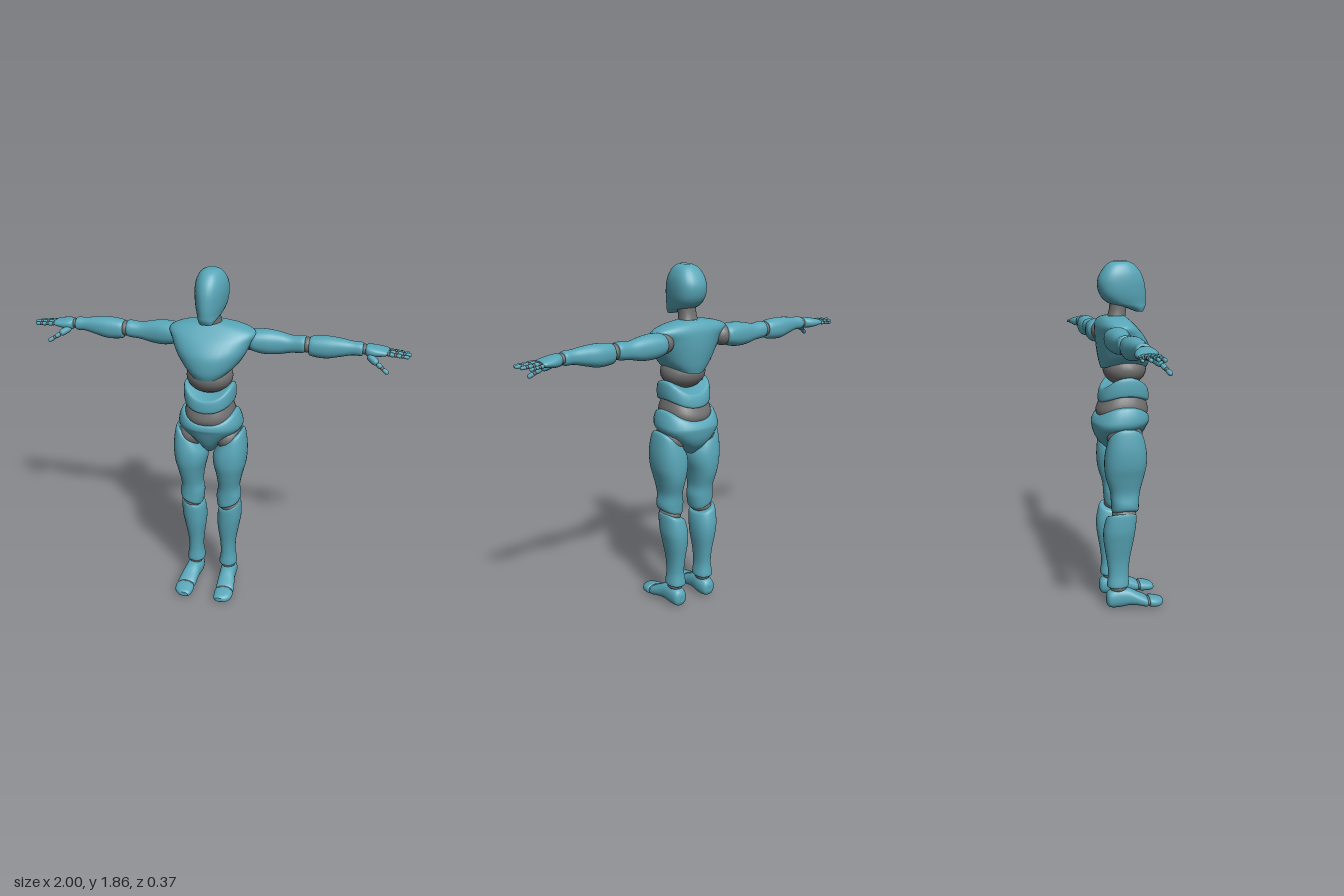
import * as THREE from 'three';

const shell = new THREE.MeshStandardMaterial({ color: 0x58a6b8 });
shell.name = 'teal shell';
const joint = new THREE.MeshStandardMaterial({ color: 0x717171 });
joint.name = 'grey joint';

const SIDES = 32, STEPS = 5;

// Smooth interpolation through all numbers of neighbouring sections
function refine(sections) {
  const full = sections.map(s => [0, 1, 2, 3, 4, 5, 6, 7, 8].map(i => s[i] ?? (i === 8 ? 2.3 : 0)));
  full.sort((a, b) => a[0] - b[0]);
  const at = i => full[Math.max(0, Math.min(full.length - 1, i))];
  const out = [];
  for (let i = 0; i < full.length - 1; i++) {
    for (let k = 0; k < STEPS; k++) {
      const t = k / STEPS;
      out.push(at(i).map((b, j) => {
        const a = at(i - 1)[j], c = at(i + 1)[j], d = at(i + 2)[j];
        return b + 0.5 * t * (c - a + t * (2 * a - 5 * b + 4 * c - d + t * (3 * (b - c) + d - a)));
      }));
    }
  }
  out.push(full[full.length - 1]);
  return out;
}

// Loft of superellipses: [t, u0, u1, v0, v1, taper, arch, slope, exponent]
// axis y: u = x, v = z; axis z: u = x, v = y; axis x: u = z, v = y
function loft(axis, sections) {
  const rings = refine(sections), pos = [], index = [];
  const put = (u, t, v) => pos.push(...(axis === 'y' ? [u, t, v] : axis === 'z' ? [u, v, t] : [t, v, u]));
  const tri = (a, b, c) => (axis === 'z' ? index.push(a, c, b) : index.push(a, b, c));
  const ring = ([t, u0, u1, v0, v1, taper, arch, slope, n]) => {
    for (let i = 0; i < SIDES; i++) {
      const a = (i / SIDES) * Math.PI * 2, c = Math.cos(a), s = Math.sin(a);
      const pu = Math.sign(c) * Math.abs(c) ** (2 / n), pv = Math.sign(s) * Math.abs(s) ** (2 / n);
      put((u0 + u1) / 2 + (u1 - u0) / 2 * pu * (1 + taper * s),
        t + arch * s * s + slope * c, (v0 + v1) / 2 + (v1 - v0) / 2 * pv);
    }
  };
  rings.forEach(ring);
  for (let k = 0; k < rings.length - 1; k++) {
    for (let i = 0; i < SIDES; i++) {
      const j = (i + 1) % SIDES, a = k * SIDES, b = a + SIDES;
      tri(a + i, b + i, a + j);
      tri(a + j, b + i, b + j);
    }
  }
  // End caps with their own vertices, so the rims stay sharp
  [rings[0], rings[rings.length - 1]].forEach((r, end) => {
    const base = pos.length / 3;
    ring(r);
    put((r[1] + r[2]) / 2, r[0] + r[6] / 2, (r[3] + r[4]) / 2);
    for (let i = 0; i < SIDES; i++) {
      const p = base + i, q = base + (i + 1) % SIDES;
      end ? tri(base + SIDES, q, p) : tri(base + SIDES, p, q);
    }
  });
  const g = new THREE.BufferGeometry();
  g.setAttribute('position', new THREE.Float32BufferAttribute(pos, 3));
  g.setIndex(index);
  g.computeVertexNormals();
  return g;
}

const ball = (x, y, z, rx, ry = rx, rz = rx, n = 24) =>
  new THREE.SphereGeometry(1, n, Math.ceil(n / 2)).scale(rx, ry, rz).translate(x, y, z);

function capsule(a, b, r) {
  const d = b.clone().sub(a), len = d.length();
  const q = new THREE.Quaternion().setFromUnitVectors(new THREE.Vector3(0, 1, 0), d.normalize());
  const m = a.clone().add(b).multiplyScalar(0.5);
  return new THREE.CapsuleGeometry(r, Math.max(0.001, len - 2 * r), 3, 10).applyQuaternion(q).translate(m.x, m.y, m.z);
}

function mirrored(geometry) {
  const g = geometry.clone().scale(-1, 1, 1), ix = g.index.array;
  for (let i = 0; i < ix.length; i += 3) [ix[i], ix[i + 1]] = [ix[i + 1], ix[i]];
  return g;
}

export function createModel() {
  const model = new THREE.Group();
  model.name = 'jointedMannequin';
  const add = (name, geometry, material = shell) => {
    const mesh = new THREE.Mesh(geometry, material);
    mesh.name = name;
    model.add(mesh);
  };
  const pair = (name, geometry, material) => {
    add('left' + name, geometry, material);
    add('right' + name, mirrored(geometry), material);
  };

  // Head with a narrow face, and the neck
  add('head', loft('y', [
    [1.857, -0.025, 0.025, -0.06, 0.015], [1.84, -0.053, 0.053, -0.09, 0.05, -0.15],
    [1.80, -0.074, 0.074, -0.122, 0.085, -0.2], [1.75, -0.081, 0.081, -0.14, 0.105, -0.22],
    [1.69, -0.076, 0.076, -0.128, 0.113, -0.25], [1.645, -0.062, 0.062, -0.085, 0.113, -0.22],
    [1.622, -0.048, 0.048, 0.0, 0.11, -0.15], [1.60, -0.032, 0.032, 0.06, 0.098]]));
  add('neck', loft('y', [
    [1.68, -0.047, 0.047, -0.075, 0.015], [1.61, -0.046, 0.046, -0.08, 0.008], [1.55, -0.055, 0.055, -0.1, 0.0]]), joint);

  // Torso plates and the joints between them
  add('chest', loft('y', [
    [1.582, -0.06, 0.06, -0.105, -0.005], [1.566, -0.16, 0.16, -0.128, 0.012, 0, 0, 0, 2.5],
    [1.535, -0.225, 0.225, -0.145, 0.045, -0.03, 0, 0, 2.3], [1.49, -0.208, 0.208, -0.15, 0.088, 0, 0, 0, 2.1],
    [1.43, -0.182, 0.182, -0.148, 0.125, -0.02, 0, 0, 2], [1.375, -0.145, 0.145, -0.137, 0.132, -0.04, -0.02, 0, 2],
    [1.345, -0.112, 0.112, -0.125, 0.118, 0, -0.035, 0, 2]]));
  add('upperWaistJoint', ball(0, 1.305, 0, 0.122, 0.09, 0.115), joint);
  add('abdomen', loft('y', [
    [1.27, -0.118, 0.118, -0.115, 0.105, 0, -0.065], [1.262, -0.132, 0.132, -0.128, 0.12, 0, -0.065],
    [1.22, -0.136, 0.136, -0.138, 0.126, 0, -0.05], [1.178, -0.132, 0.132, -0.14, 0.125, 0, -0.04],
    [1.17, -0.12, 0.12, -0.125, 0.11, 0, -0.04]]));
  add('lowerWaistJoint', loft('y', [
    [1.19, -0.105, 0.105, -0.12, 0.105, 0, -0.03], [1.12, -0.13, 0.13, -0.152, 0.124, 0, -0.03],
    [1.05, -0.13, 0.13, -0.14, 0.11]]), joint);
  add('pelvis', loft('y', [
    [1.118, -0.135, 0.135, -0.14, 0.108, 0, -0.05], [1.108, -0.152, 0.152, -0.158, 0.124, 0, -0.05],
    [1.06, -0.168, 0.168, -0.173, 0.128, 0, -0.025], [1.015, -0.166, 0.166, -0.175, 0.12, -0.05],
    [0.965, -0.118, 0.118, -0.165, 0.1, -0.15], [0.92, -0.068, 0.068, -0.14, 0.075, -0.2],
    [0.873, -0.025, 0.025, -0.09, 0.03]]));

  // Legs
  pair('HipJoint', ball(0.098, 0.962, -0.02, 0.077, 0.075, 0.096), joint);
  pair('Thigh', loft('y', [
    [0.96, 0.055, 0.172, -0.095, 0.058, 0, 0, 0.05], [0.945, 0.04, 0.188, -0.11, 0.075, 0, 0, 0.05],
    [0.88, 0.02, 0.2, -0.125, 0.092, 0, 0, 0.02], [0.81, 0.02, 0.195, -0.13, 0.094],
    [0.74, 0.036, 0.178, -0.123, 0.08], [0.66, 0.046, 0.162, -0.1, 0.06],
    [0.6, 0.037, 0.169, -0.094, 0.054], [0.555, 0.044, 0.166, -0.09, 0.052, 0, 0, 0.02],
    [0.543, 0.056, 0.156, -0.08, 0.04, 0, 0, 0.02]]));
  pair('KneeJoint', ball(0.106, 0.537, -0.025, 0.056, 0.045, 0.066), joint);
  pair('Shin', loft('y', [
    [0.53, 0.055, 0.155, -0.105, 0.03, 0, 0, 0.02], [0.518, 0.044, 0.165, -0.12, 0.042, 0, 0, 0.02],
    [0.45, 0.036, 0.166, -0.135, 0.037], [0.38, 0.037, 0.155, -0.134, 0.027],
    [0.28, 0.05, 0.138, -0.118, 0.008], [0.2, 0.054, 0.136, -0.11, 0.0],
    [0.135, 0.045, 0.145, -0.117, 0.002], [0.125, 0.055, 0.135, -0.107, -0.008]]));
  pair('AnkleJoint', ball(0.097, 0.118, -0.055, 0.04, 0.03, 0.047), joint);
  pair('Foot', loft('z', [
    [-0.122, 0.08, 0.115, 0.035, 0.075], [-0.108, 0.062, 0.138, 0.012, 0.1], [-0.06, 0.053, 0.145, 0.006, 0.118],
    [0.0, 0.058, 0.148, 0.014, 0.11], [0.05, 0.06, 0.158, 0.012, 0.085], [0.092, 0.062, 0.164, 0.004, 0.064],
    [0.1, 0.07, 0.156, 0.01, 0.056]]));
  pair('ToeJoint', ball(0.114, 0.031, 0.104, 0.045, 0.026, 0.022), joint);
  pair('Toes', loft('z', [
    [0.11, 0.07, 0.158, 0.006, 0.054], [0.118, 0.062, 0.166, 0.001, 0.06], [0.155, 0.064, 0.163, 0.0, 0.052],
    [0.18, 0.07, 0.145, 0.004, 0.044], [0.19, 0.08, 0.125, 0.012, 0.035]]));

  // Arms
  pair('ShoulderJoint', ball(0.19, 1.485, -0.085, 0.055), joint);
  pair('UpperArm', loft('x', [
    [0.19, -0.13, -0.04, 1.45, 1.52], [0.21, -0.152, -0.022, 1.43, 1.538], [0.27, -0.153, -0.028, 1.417, 1.543],
    [0.34, -0.145, -0.043, 1.42, 1.535], [0.4, -0.137, -0.05, 1.433, 1.522],
    [0.465, -0.138, -0.046, 1.44, 1.527], [0.475, -0.125, -0.058, 1.452, 1.515]]));
  pair('ElbowJoint', ball(0.485, 1.482, -0.09, 0.034, 0.04, 0.04), joint);
  pair('Forearm', loft('x', [
    [0.495, -0.125, -0.056, 1.445, 1.515], [0.505, -0.138, -0.043, 1.428, 1.527], [0.58, -0.145, -0.039, 1.422, 1.534],
    [0.65, -0.133, -0.045, 1.437, 1.53], [0.71, -0.122, -0.052, 1.452, 1.522],
    [0.755, -0.124, -0.05, 1.453, 1.52], [0.763, -0.115, -0.06, 1.462, 1.51]]));
  pair('WristJoint', ball(0.77, 1.487, -0.088, 0.026, 0.026, 0.031), joint);
  pair('Palm', loft('x', [
    [0.775, -0.115, -0.06, 1.468, 1.508], [0.785, -0.128, -0.046, 1.456, 1.513], [0.82, -0.144, -0.04, 1.455, 1.51],
    [0.87, -0.148, -0.046, 1.464, 1.5], [0.888, -0.14, -0.052, 1.47, 1.494]]));

  // Fingers and thumb: chains of rounded segments with small joints
  const digit = (name, a, b, r, count) => {
    const from = new THREE.Vector3(...a), to = new THREE.Vector3(...b);
    for (let i = 0; i < count; i++) {
      const p = from.clone().lerp(to, i / count), q = from.clone().lerp(to, (i + 1) / count);
      pair(name + 'Joint' + (i + 1), ball(p.x, p.y, p.z, r * 0.85, r * 0.85, r * 0.85, 10), joint);
      pair(name + 'Segment' + (i + 1), capsule(p.clone().lerp(q, 0.06), q.clone().lerp(p, i < count - 1 ? 0.06 : 0), r * (1 - 0.09 * i)), shell);
    }
  };
  digit('IndexFinger', [0.888, 1.482, -0.056], [0.99, 1.476, -0.053], 0.0115, 3);
  digit('MiddleFinger', [0.89, 1.484, -0.083], [1.0, 1.479, -0.083], 0.0115, 3);
  digit('RingFinger', [0.888, 1.483, -0.11], [0.988, 1.477, -0.112], 0.0112, 3);
  digit('LittleFinger', [0.88, 1.479, -0.136], [0.958, 1.471, -0.141], 0.01, 3);
  pair('ThumbBase', capsule(new THREE.Vector3(0.79, 1.468, -0.062), new THREE.Vector3(0.842, 1.438, -0.026), 0.019));
  digit('Thumb', [0.836, 1.441, -0.03], [0.898, 1.402, 0.0], 0.0125, 2);

  return model;
}
